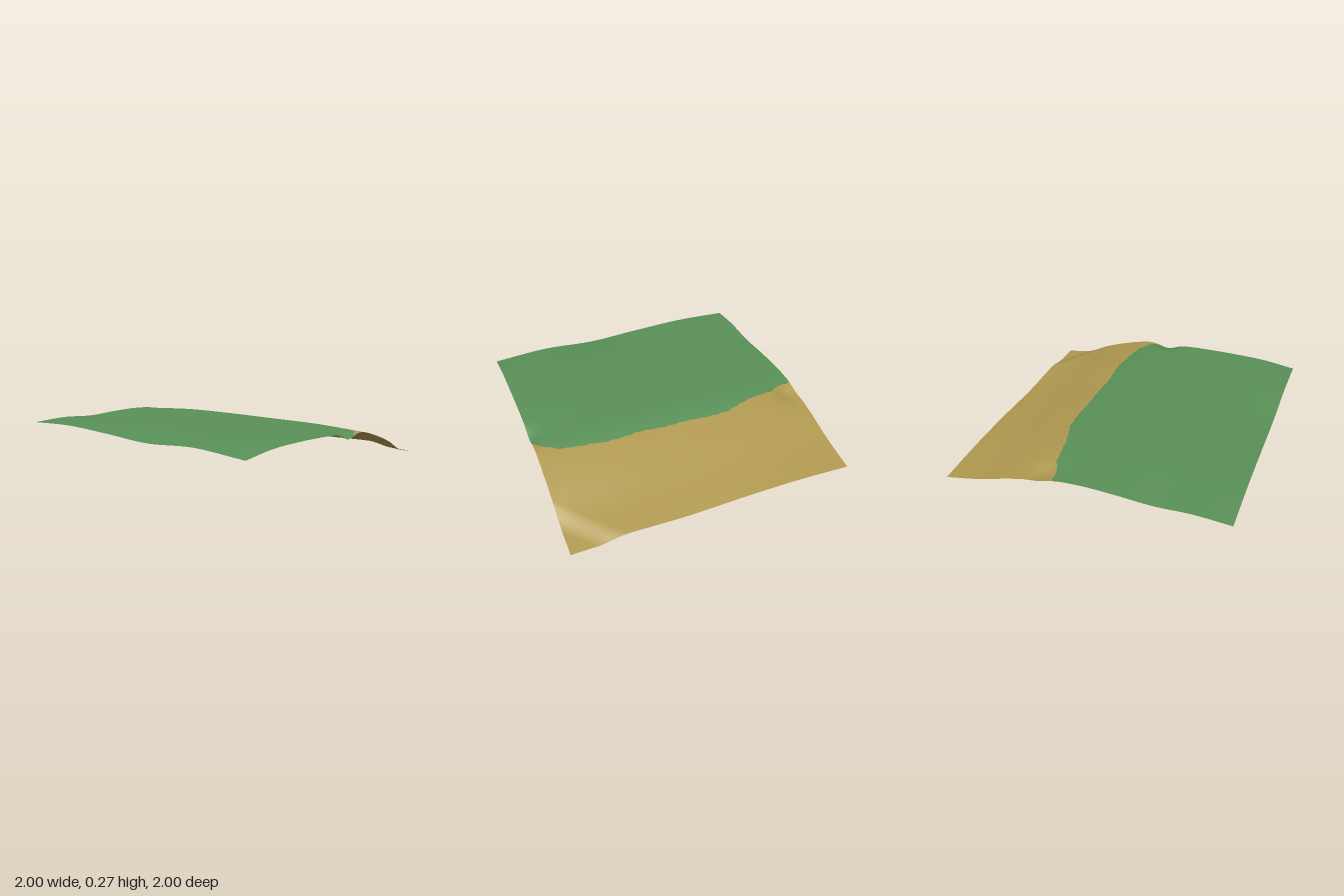
import * as THREE from 'three';

// Heights on a coarse net: columns x = -1..1 step 0.25, rows z = -1..1 step 0.4
const NET = [
  [0.25, 0.262, 0.25, 0.262, 0.266, 0.24, 0.175, 0.1, 0.045],
  [0.264, 0.27, 0.265, 0.27, 0.271, 0.26, 0.19, 0.11, 0.057],
  [0.25, 0.262, 0.268, 0.266, 0.269, 0.263, 0.192, 0.107, 0.05],
  [0.23, 0.258, 0.266, 0.268, 0.268, 0.26, 0.188, 0.1, 0.032],
  [0.25, 0.264, 0.27, 0.27, 0.268, 0.256, 0.185, 0.096, 0.037],
  [0.225, 0.256, 0.263, 0.261, 0.25, 0.236, 0.168, 0.078, 0.03],
];

// Where grass gives way to sand: [z, x]
const SHORE = [[-1, 0.185], [-0.9, 0.195], [-0.8, 0.25], [-0.6, 0.27], [-0.4, 0.34], [-0.2, 0.337],
  [0, 0.33], [0.3, 0.32], [0.55, 0.33], [0.7, 0.305], [0.85, 0.275], [0.97, 0.2], [1, 0.13]];

function spline(v, t) {
  const i = Math.max(0, Math.min(v.length - 2, Math.floor(t)));
  const f = t - i;
  const b = v[i], c = v[i + 1];
  const a = i > 0 ? v[i - 1] : 2 * b - c;
  const d = i + 2 < v.length ? v[i + 2] : 2 * c - b;
  return b + 0.5 * f * (c - a + f * (2 * a - 5 * b + 4 * c - d + f * (3 * (b - c) + d - a)));
}

const hollow = (x, z, cx, cz, rx, rz, depth) =>
  depth * Math.exp(-(((x - cx) / rx) ** 2) - ((z - cz) / rz) ** 2);

function height(x, z) {
  let y = spline(NET.map((row) => spline(row, (x + 1) * 4)), (z + 1) * 2.5);
  y -= hollow(x, z, 0.07, 1.02, 0.09, 0.08, 0.042); // notch in the front edge
  y -= hollow(x, z, 0.29, -0.93, 0.09, 0.09, 0.026); // scoop at the back
  y -= 0.03 * THREE.MathUtils.smoothstep(x + z, 1.62, 1.83); // step down to the corner
  return Math.max(0, y);
}

function shoreX(z) {
  let i = 0;
  while (i < SHORE.length - 2 && z > SHORE[i + 1][0]) i++;
  const [z0, x0] = SHORE[i], [z1, x1] = SHORE[i + 1];
  const ragged = 0.006 * Math.sin(z * 47) * Math.cos(z * 29);
  return x0 + (x1 - x0) * (z - z0) / (z1 - z0) + ragged;
}

// A strip of ground between two x limits, with smooth normals taken from the slope
function ground(name, left, right, material) {
  const geometry = new THREE.PlaneGeometry(2, 2, 70, 120).rotateX(-Math.PI / 2);
  const p = geometry.attributes.position, n = geometry.attributes.normal;
  const normal = new THREE.Vector3(), e = 0.008;
  for (let i = 0; i < p.count; i++) {
    const z = p.getZ(i);
    const x = THREE.MathUtils.lerp(left(z), right(z), (p.getX(i) + 1) / 2);
    p.setXYZ(i, x, height(x, z), z);
    normal.set(height(x - e, z) - height(x + e, z), 2 * e, height(x, z - e) - height(x, z + e)).normalize();
    n.setXYZ(i, normal.x, normal.y, normal.z);
  }
  const mesh = new THREE.Mesh(geometry, material);
  mesh.name = name;
  return mesh;
}

export function createModel() {
  const grass = new THREE.MeshStandardMaterial({ name: 'grass green', color: 0x5a9158, side: THREE.DoubleSide });
  const sand = new THREE.MeshStandardMaterial({ name: 'sand', color: 0xb09950, side: THREE.DoubleSide });

  const model = new THREE.Group();
  model.name = 'coastTerrain';
  model.add(ground('grassPlateau', () => -1, shoreX, grass));
  model.add(ground('sandSlope', shoreX, () => 1, sand));
  return model;
}
